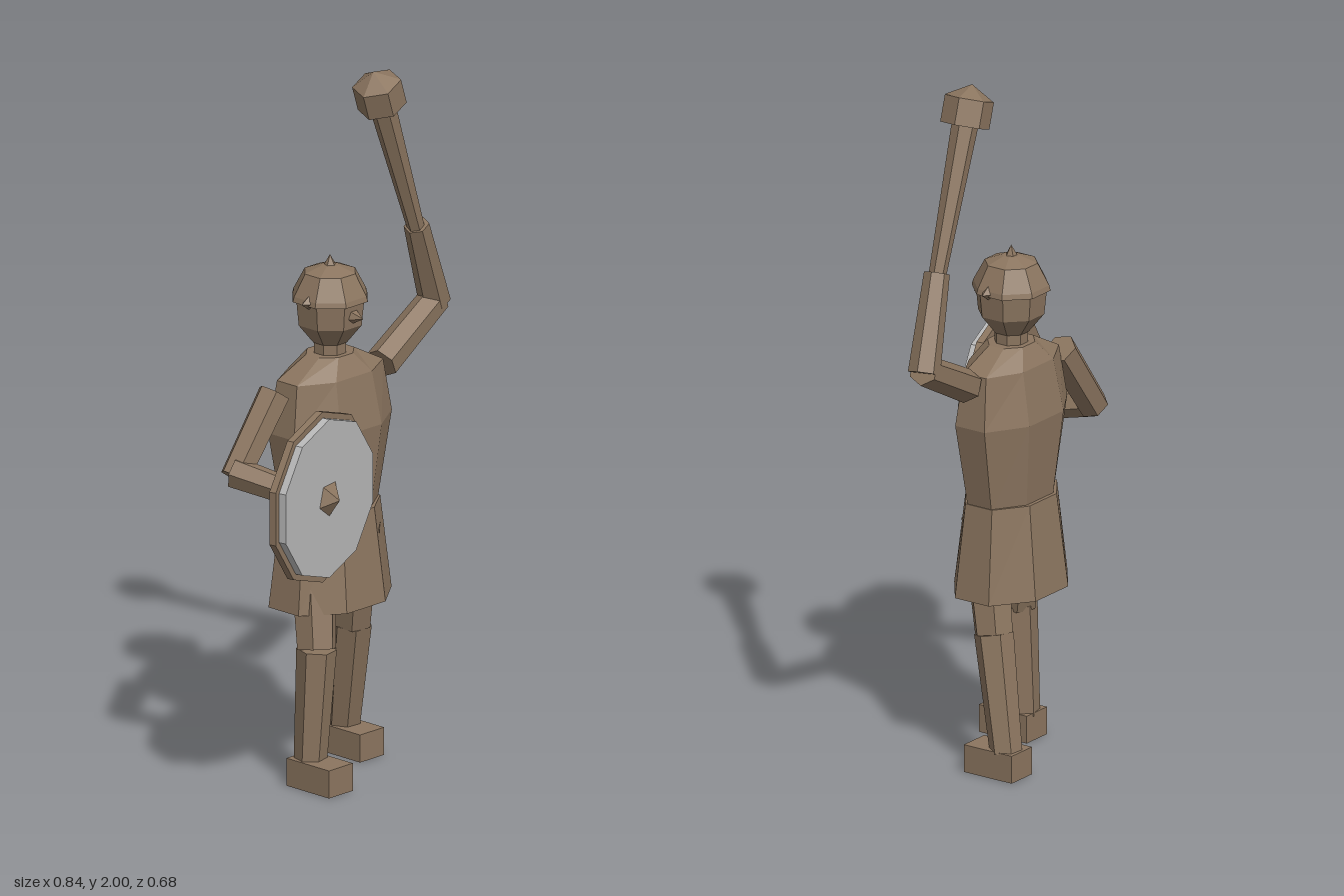
import * as THREE from 'three';

const YAW = THREE.MathUtils.degToRad(20);

// Faceted normals for the low-poly style
function facet(geo) {
  const g = geo.index ? geo.toNonIndexed() : geo;
  g.computeVertexNormals();
  return g;
}

// Closed loft through horizontal rings [y, half width, half depth]
function loft(rings, sides) {
  const pos = [], idx = [];
  for (const [y, a, b] of rings) {
    for (let i = 0; i < sides; i++) {
      const t = ((i + 0.5) / sides) * Math.PI * 2;
      pos.push(Math.sin(t) * a, y, Math.cos(t) * b);
    }
  }
  const last = rings.length - 1;
  for (let r = 0; r < last; r++) {
    for (let i = 0; i < sides; i++) {
      const p = r * sides + i, q = r * sides + (i + 1) % sides;
      idx.push(p, q, q + sides, p, q + sides, p + sides);
    }
  }
  for (let i = 1; i < sides - 1; i++) {
    idx.push(0, i + 1, i);
    idx.push(last * sides, last * sides + i, last * sides + i + 1);
  }
  const g = new THREE.BufferGeometry();
  g.setAttribute('position', new THREE.Float32BufferAttribute(pos, 3));
  g.setIndex(idx);
  return facet(g);
}

export function createModel() {
  const model = new THREE.Group();
  const wood = new THREE.MeshStandardMaterial({ name: 'brown', color: 0x8b755f });
  const metal = new THREE.MeshStandardMaterial({ name: 'silver', color: 0xb8b8b8 });

  function add(name, geo, mat = wood, parent = model) {
    const mesh = new THREE.Mesh(geo, mat);
    mesh.name = name;
    parent.add(mesh);
    return mesh;
  }

  // Tapered prism between two points
  function limb(name, from, to, r0, r1, sides = 6) {
    const a = new THREE.Vector3(...from), b = new THREE.Vector3(...to);
    const dir = b.clone().sub(a);
    const mesh = add(name, facet(new THREE.CylinderGeometry(r1, r0, dir.length(), sides)));
    mesh.position.copy(a).add(b).multiplyScalar(0.5);
    mesh.quaternion.setFromUnitVectors(new THREE.Vector3(0, 1, 0), dir.normalize());
    return mesh;
  }

  // Body, turned slightly to its left
  const body = new THREE.Group();
  body.name = 'body';
  body.position.set(-0.02, 0, -0.13);
  body.rotation.y = YAW;
  model.add(body);

  add('torso', loft([
    [0.76, 0.16, 0.105], [1.01, 0.21, 0.13], [1.16, 0.185, 0.1], [1.215, 0.075, 0.065],
  ], 8), wood, body);
  add('skirt', loft([[0.5, 0.2, 0.15], [0.77, 0.165, 0.118]], 8), wood, body);
  add('neck', loft([[1.19, 0.048, 0.048], [1.26, 0.048, 0.048]], 8), wood, body);
  add('head', loft([
    [1.245, 0.05, 0.05], [1.3, 0.094, 0.094], [1.38, 0.102, 0.102],
  ], 8), wood, body);
  add('helmet', loft([
    [1.37, 0.112, 0.112], [1.385, 0.108, 0.108], [1.447, 0.075, 0.075], [1.466, 0.025, 0.025],
  ], 8), wood, body);
  const spike = add('helmetSpike', facet(new THREE.ConeGeometry(0.025, 0.045, 5)), wood, body);
  spike.position.y = 1.473;
  const nose = add('nose', facet(new THREE.ConeGeometry(0.024, 0.045, 5)), wood, body);
  nose.position.set(0, 1.335, 0.105);
  nose.rotation.x = Math.PI / 2;
  // Pointed tips on the sides of the helmet brim
  for (const s of [-1, 1]) {
    const tip = add('brimTip', facet(new THREE.ConeGeometry(0.02, 0.03, 4)), wood, body);
    tip.position.set(s * 0.108, 1.378, 0.01);
    tip.rotation.z = -s * Math.PI / 2;
  }

  // Legs: hip, knee, ankle, then foot centre
  const legs = [
    ['right', [-0.09, 0.71, -0.1], [-0.115, 0.395, -0.02], [-0.13, 0.07, -0.028], [-0.12, 0.01]],
    ['left', [0.062, 0.71, -0.12], [0.08, 0.395, -0.193], [0.09, 0.07, -0.268], [0.095, -0.235]],
  ];
  for (const [side, hip, knee, ankle, foot] of legs) {
    limb(side + 'Thigh', hip, knee, 0.07, 0.057);
    limb(side + 'Shin', knee, ankle, 0.056, 0.046);
    const shoe = add(side + 'Foot', facet(new THREE.BoxGeometry(0.095, 0.08, 0.163)));
    shoe.position.set(foot[0], 0.04, foot[1]);
    shoe.rotation.y = YAW;
  }

  // Raised left arm
  limb('leftUpperArm', [0.165, 1.135, -0.185], [0.385, 1.26, -0.298], 0.048, 0.044);
  limb('leftForearm', [0.383, 1.25, -0.298], [0.293, 1.505, -0.228], 0.045, 0.036);

  // Lowered right arm carrying the shield
  limb('rightUpperArm', [-0.215, 1.135, -0.08], [-0.36, 0.925, -0.032], 0.048, 0.044);
  limb('rightForearm', [-0.36, 0.94, -0.032], [-0.2, 0.89, 0.165], 0.045, 0.036);

  // Club: shaft, hexagonal head and low point
  limb('clubShaft', [0.297, 1.48, -0.23], [0.15, 1.91, -0.16], 0.024, 0.038);
  limb('clubHead', [0.156, 1.89, -0.162], [0.133, 1.962, -0.151], 0.069, 0.069);
  limb('clubPoint', [0.133, 1.962, -0.151], [0.121, 1.999, -0.146], 0.069, 0.001);

  // Shield: wooden back, metal face and boss, with its axis along local z
  const shield = new THREE.Group();
  shield.name = 'shield';
  shield.position.set(-0.218, 0.917, 0.19);
  shield.rotation.y = THREE.MathUtils.degToRad(30.7);
  model.add(shield);
  function disc(name, r0, r1, depth, z, sides, mat) {
    const geo = new THREE.CylinderGeometry(r1, r0, depth, sides);
    geo.rotateX(Math.PI / 2);
    add(name, facet(geo), mat, shield).position.z = z + depth / 2;
  }
  disc('shieldBack', 0.2475, 0.2475, 0.021, 0, 10, wood);
  disc('shieldFace', 0.23, 0.23, 0.023, 0.02, 10, metal);
  disc('shieldBoss', 0.052, 0.002, 0.034, 0.042, 5, wood);

  return model;
}
